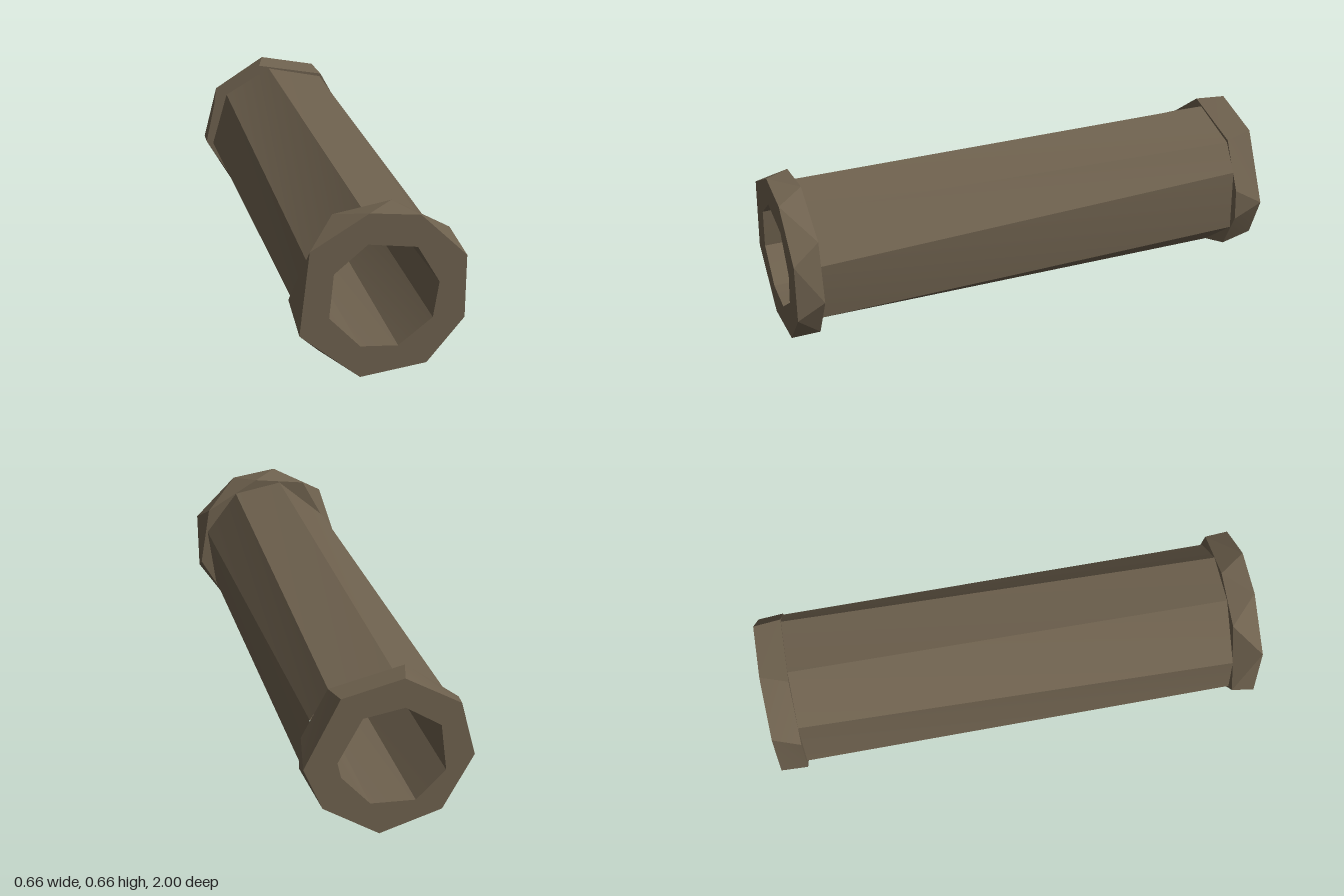
import * as THREE from 'three';
import { toCreasedNormals } from 'three/addons/utils/BufferGeometryUtils.js';

const CY = 0.33; // height of the pipe axis
const END = 1, STEP = 0.89;

// Cross-sections [x, y], each running counter-clockwise seen from +z
const frontRim = [[0.307, 0.46], [0.13, 0.633], [-0.06, 0.656], [-0.278, 0.528], [-0.317, 0.203], [-0.09, 0.012], [0.163, 0.043], [0.305, 0.213]];
const frontCollar = [[0.272, 0.53], [0.05, 0.656], [-0.17, 0.62], [-0.333, 0.3], [-0.222, 0.083], [-0.01, 0.005], [0.2, 0.07], [0.315, 0.28]];
const backRim = [[0.332, 0.333], [0.193, 0.607], [-0.045, 0.656], [-0.265, 0.52], [-0.325, 0.29], [-0.205, 0.068], [0.04, 0.001], [0.26, 0.152]];
const backCollar = [[0.312, 0.4], [0.21, 0.59], [-0.08, 0.648], [-0.293, 0.48], [-0.333, 0.3], [-0.19, 0.064], [0, 0.001], [0.237, 0.105], [0.32, 0.27]];
const bodyFront = [[0.282, 0.425], [0.145, 0.6], [-0.06, 0.632], [-0.264, 0.445], [-0.297, 0.25], [-0.16, 0.073], [0.03, 0.018], [0.25, 0.17]];
const bodyBack = [[0.278, 0.47], [0.205, 0.578], [-0.035, 0.632], [-0.235, 0.52], [-0.303, 0.29], [-0.15, 0.07], [0.08, 0.035], [0.285, 0.21]];
const boreFront = [[0.205, 0.365], [0.12, 0.51], [-0.065, 0.537], [-0.19, 0.433], [-0.207, 0.262], [-0.09, 0.137], [0.053, 0.125], [0.183, 0.225]];
const boreBack = [[0.204, 0.34], [0.11, 0.513], [-0.05, 0.534], [-0.19, 0.438], [-0.215, 0.24], [-0.1, 0.127], [0.077, 0.142], [0.19, 0.275]];

function toGeometry(positions) {
  const g = new THREE.BufferGeometry();
  g.setAttribute('position', new THREE.Float32BufferAttribute(positions, 3));
  return toCreasedNormals(g, 0.3);
}

// Wall joining matching corners of two loops; inward flips it for the bore
function wall(back, zBack, front, zFront, inward = false) {
  const p = [], n = back.length;
  for (let i = 0; i < n; i++) {
    const j = (i + 1) % n;
    const a = [...back[i], zBack], b = [...back[j], zBack];
    const c = [...front[j], zFront], d = [...front[i], zFront];
    const tris = inward ? [a, c, b, a, d, c] : [a, b, c, a, c, d];
    tris.forEach(v => p.push(...v));
  }
  return toGeometry(p);
}

// Faceted wall between two twisted loops, stepping round both by angle
function twistedWall(back, zBack, front, zFront) {
  const angle = ([x, y]) => (Math.atan2(y - CY, x) + Math.PI * 2) % (Math.PI * 2);
  const prepare = (loop, z) => {
    const s = loop.map(q => ({ t: angle(q), v: [...q, z] })).sort((m, n) => m.t - n.t);
    return [...s, { t: s[0].t + Math.PI * 2, v: s[0].v }];
  };
  const B = prepare(back, zBack), F = prepare(front, zFront), p = [];
  let i = 0, j = 0;
  while (i < B.length - 1 || j < F.length - 1) {
    const stepBack = j === F.length - 1 || (i < B.length - 1 && B[i + 1].t < F[j + 1].t);
    const next = stepBack ? B[i + 1].v : F[j + 1].v;
    p.push(...B[i].v, ...next, ...F[j].v);
    if (stepBack) i++; else j++;
  }
  return toGeometry(p);
}

// Flat ring with a hole, facing +z or -z
function face(outer, hole, z, facing) {
  const shape = new THREE.Shape(outer.map(q => new THREE.Vector2(...q)));
  shape.holes.push(new THREE.Path(hole.map(q => new THREE.Vector2(...q))));
  const g = new THREE.ShapeGeometry(shape);
  if (facing < 0) {
    const idx = g.index.array;
    for (let i = 0; i < idx.length; i += 3) [idx[i], idx[i + 1]] = [idx[i + 1], idx[i]];
    g.computeVertexNormals();
  }
  return g.translate(0, 0, z);
}

export function createModel() {
  const model = new THREE.Group();
  model.name = 'pipe';
  const brown = new THREE.MeshStandardMaterial({ color: 0x6e614e });
  brown.name = 'dull brown';

  const add = (parent, name, geometry) => {
    const mesh = new THREE.Mesh(geometry, brown);
    mesh.name = name;
    parent.add(mesh);
  };

  // Long tube and its bore
  add(model, 'body', wall(bodyBack, -STEP, bodyFront, STEP));
  add(model, 'bore', wall(boreBack, -END, boreFront, END, true));

  // Wider collar at the front end
  const front = new THREE.Group();
  front.name = 'frontCollar';
  add(front, 'collarSide', twistedWall(frontCollar, STEP, frontRim, END));
  add(front, 'endFace', face(frontRim, boreFront, END, 1));
  add(front, 'shoulder', face(frontCollar, boreFront, STEP, -1));

  // Wider collar at the back end
  const back = new THREE.Group();
  back.name = 'backCollar';
  add(back, 'collarSide', twistedWall(backRim, -END, backCollar, -STEP));
  add(back, 'endFace', face(backRim, boreBack, -END, -1));
  add(back, 'shoulder', face(backCollar, boreBack, -STEP, 1));

  model.add(front, back);
  return model;
}
